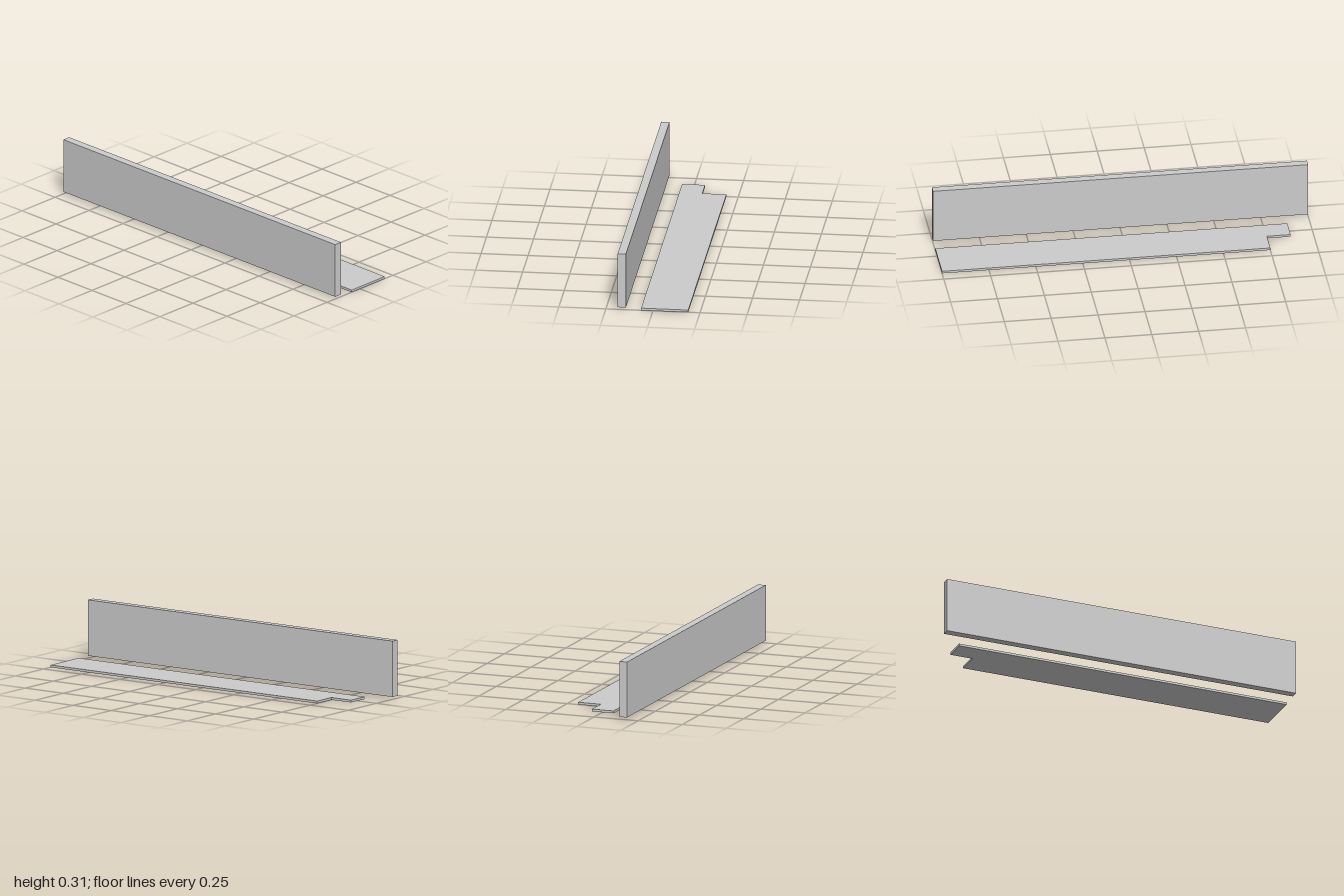
import * as THREE from 'three';

export function createModel() {
  const model = new THREE.Group();
  const material = new THREE.MeshStandardMaterial({ color: 0xcccccc, flatShading: true });
  const thickness = 0.0125;

  // Upright board, its lower edge level with the top of the floor panel
  const wall = new THREE.Mesh(new THREE.BoxGeometry(0.044, 0.3, 2), material);
  wall.name = 'uprightBoard';
  wall.position.set(-0.1655, thickness + 0.15, 0);
  model.add(wall);

  // Flat panel with a notched back corner, given as (x, z)
  const outline = [
    [-0.0625, 1], [0.1875, 1], [0.1875, -0.75],
    [0.0595, -0.75], [0.0595, -0.877], [-0.0625, -0.877],
  ];
  const shape = new THREE.Shape(outline.map(([x, z]) => new THREE.Vector2(x, -z)));
  const panelGeometry = new THREE.ExtrudeGeometry(shape, { depth: thickness, bevelEnabled: false });
  panelGeometry.rotateX(-Math.PI / 2);
  const panel = new THREE.Mesh(panelGeometry, material);
  panel.name = 'floorPanel';
  model.add(panel);

  return model;
}
